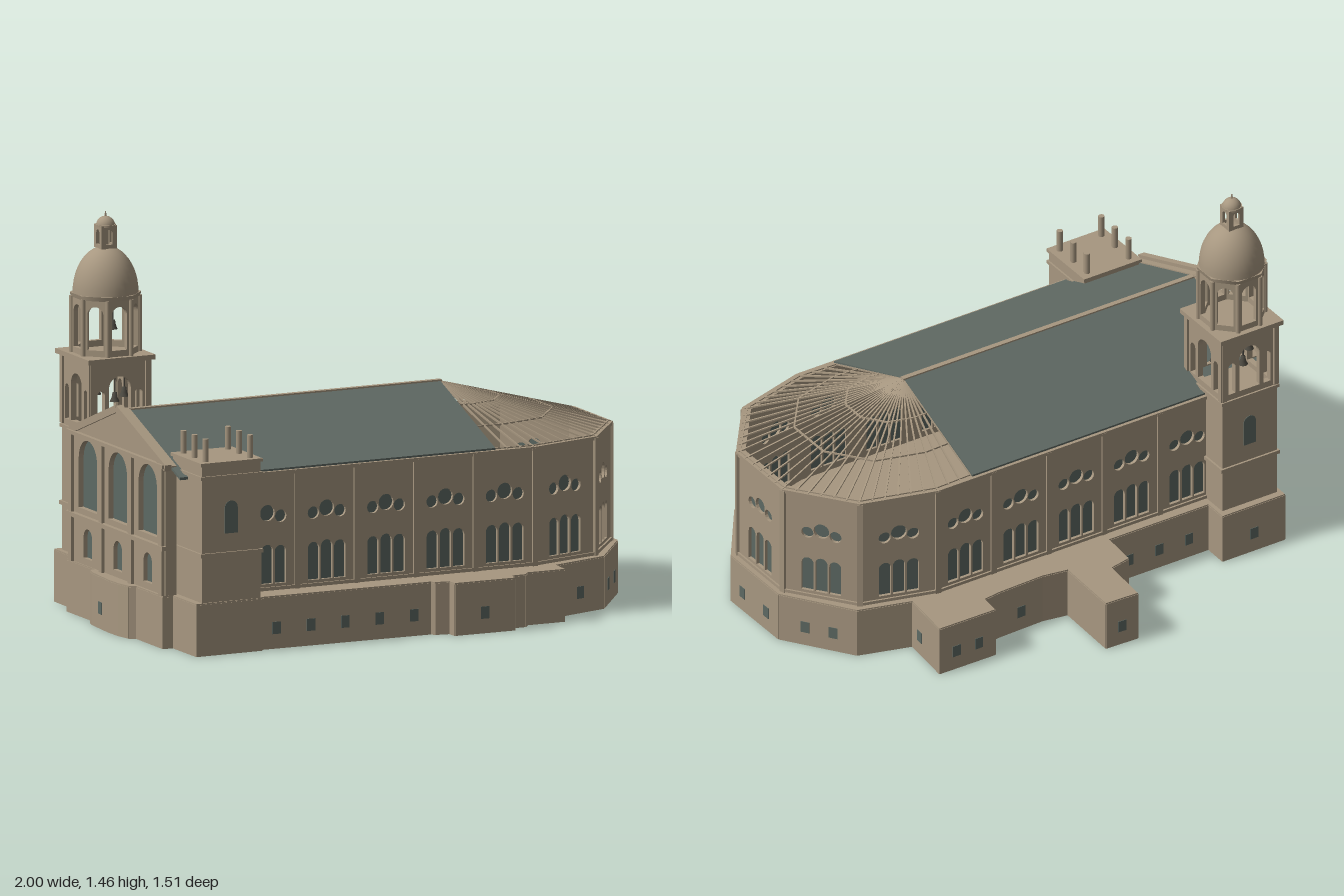
import * as THREE from 'three';

const mat = (name, color) => Object.assign(new THREE.MeshStandardMaterial({ color }), { name });
const stone = mat('stone', 0xa79780);
const slate = mat('slate', 0x606a64);
const glass = mat('glass', 0x5d6963);
const metal = mat('bellMetal', 0x4d4a42);

const V = (x, y, z) => new THREE.Vector3(x, y, z);
function add(parent, name, geo, material, x = 0, y = 0, z = 0) {
  const m = new THREE.Mesh(geo, material);
  m.name = name;
  m.position.set(x, y, z);
  parent.add(m);
  return m;
}
const box = (parent, name, w, h, d, x, y, z, material = stone) =>
  add(parent, name, new THREE.BoxGeometry(w, h, d), material, x, y, z);
function group(parent, name, x = 0, y = 0, z = 0, turn = 0) {
  const g = new THREE.Group();
  g.name = name;
  g.position.set(x, y, z);
  g.rotation.y = turn;
  parent.add(g);
  return g;
}
// Thin beam between two points, kept upright
function beam(parent, name, a, b, t) {
  const m = box(parent, name, t, t, a.distanceTo(b), 0, 0, 0);
  m.position.copy(a).lerp(b, 0.5);
  m.quaternion.setFromRotationMatrix(new THREE.Matrix4().lookAt(b, a, V(0, 1, 0)));
}

// Openings
function arch(cx, y0, w, h) {
  const r = w / 2, p = new THREE.Path();
  p.moveTo(cx - r, y0).lineTo(cx + r, y0).lineTo(cx + r, y0 + h - r);
  p.absarc(cx, y0 + h - r, r, 0, Math.PI, false);
  p.closePath();
  return p;
}
function circle(cx, cy, r) {
  const p = new THREE.Path();
  p.absarc(cx, cy, r, 0, Math.PI * 2, false);
  return p;
}
const rectPts = (w, y0, y1) => [[-w / 2, y0], [w / 2, y0], [w / 2, y1], [-w / 2, y1]];
// Upright pierced panel, outer face at z = 0
function panel(parent, name, pts, holes, depth) {
  const s = new THREE.Shape(pts.map(p => new THREE.Vector2(...p)));
  s.holes = holes;
  const g = new THREE.ExtrudeGeometry(s, { depth, bevelEnabled: false, curveSegments: 8 });
  return add(parent, name, g.translate(0, 0, -depth), stone);
}
function glaze(parent, holes, z, oneSided = false) {
  const shapes = holes.map(h => new THREE.Shape(h.getPoints(8)));
  const g = oneSided ? new THREE.ShapeGeometry(shapes)
    : new THREE.ExtrudeGeometry(shapes, { depth: 0.004, bevelEnabled: false });
  add(parent, 'windowGlass', g, glass, 0, 0, z);
}

// Low base with annexes, [x, z] outline
const OUTLINE = [
  [-0.955, -0.43], [-0.685, -0.45], [-0.68, -0.355], [-0.25, -0.385], [-0.25, -0.53], [-0.165, -0.555],
  [-0.165, -0.75], [-0.03, -0.755], [-0.02, -0.49], [0.08, -0.48], [0.27, -0.5], [0.34, -0.515],
  [0.34, -0.595], [0.58, -0.61], [0.575, -0.4], [0.78, -0.355], [0.975, -0.12], [0.998, 0.19],
  [0.835, 0.455], [0.61, 0.545], [0.61, 0.63], [0.46, 0.64], [0.44, 0.67], [0.385, 0.675],
  [0.38, 0.715], [0.14, 0.73], [0.135, 0.69], [0.08, 0.685], [0.07, 0.67], [-0.62, 0.71],
  [-0.615, 0.725], [-0.88, 0.748], [-0.895, 0.56], [-0.935, 0.56], [-0.95, 0.345], [-0.975, 0.33],
  [-0.99, 0.27], [-0.998, 0.2], [-0.998, 0.04], [-0.99, 0], [-0.968, -0.01], [-0.985, -0.235], [-0.945, -0.24]];
// Partitions under the towers and annexes
const PARTITIONS = [
  [[-0.62, 0.71], [-0.635, 0.49]], [[-0.635, 0.49], [-0.895, 0.51]], [[-0.68, -0.355], [-0.67, -0.17]],
  [[-0.67, -0.17], [-0.95, -0.15]], [[-0.25, -0.385], [-0.02, -0.4]], [[0.34, -0.415], [0.575, -0.4]]];
function buildBase(root) {
  const g = group(root, 'base');
  const s = new THREE.Shape(OUTLINE.map(([x, z]) => new THREE.Vector2(x, -z)));
  const top = new THREE.ExtrudeGeometry(s, { depth: 0.008, bevelEnabled: false }).rotateX(-Math.PI / 2);
  add(g, 'baseTop', top, stone, 0, 0.187, 0);
  const edges = OUTLINE.map((a, i) => [a, OUTLINE[(i + 1) % OUTLINE.length]]);
  const place = (m, [[ax, az], [bx, bz]], t) => {
    m.position.x = ax + (bx - ax) * t;
    m.position.z = az + (bz - az) * t;
    m.rotation.y = Math.atan2(-(bz - az), bx - ax);
  };
  for (const e of [...edges, ...PARTITIONS]) {
    const len = Math.hypot(e[1][0] - e[0][0], e[1][1] - e[0][1]);
    place(box(g, 'baseWall', len, 0.19, 0.004, 0, 0.095, 0), e, 0.5);
  }
  // Small windows: edge index, then positions along it
  const rows = [[0, 0.5], [2, 0.2, 0.5, 0.8], [4, 0.5], [6, 0.5], [9, 0.5], [12, 0.3, 0.7], [13, 0.71],
    [15, 0.3, 0.66], [16, 0.25, 0.75], [17, 0.28, 0.73], [18, 0.5], [24, 0.5],
    [28, 0.1, 0.3, 0.5, 0.7, 0.9], [37, 0.5]];
  for (const [i, ...spots] of rows)
    for (const t of spots) place(box(g, 'baseWindow', 0.034, 0.045, 0.008, 0, 0.077, 0, glass), edges[i], t);
}

// Bay wall with triple lancets and clustered round lights
const WALL = [[0.5, 0.465], [0.785, 0.385], [0.965, 0.15]];
for (let i = 1; i <= 5; i++) WALL.unshift([0.5 - 0.24 * i, 0.465]);
WALL.push(...WALL.map(([u, v]) => [u, -v]).reverse());
function buildWalls(hall) {
  const turns = [];
  for (let i = 0; i < WALL.length - 1; i++) {
    const [au, av] = WALL[i], [bu, bv] = WALL[i + 1];
    const len = Math.hypot(bu - au, bv - av), turn = Math.atan2(-(bv - av), bu - au);
    turns.push(turn);
    const g = group(hall, 'bay', (au + bu) / 2, 0, (av + bv) / 2, turn);
    const holes = [arch(-0.053, 0.22, 0.046, 0.14), arch(0, 0.22, 0.046, 0.145), arch(0.053, 0.22, 0.046, 0.14),
      circle(-0.054, 0.468, 0.023), circle(0, 0.482, 0.03), circle(0.054, 0.468, 0.023)];
    panel(g, 'bayWall', rectPts(len, 0.19, 0.63), holes, 0.025);
    glaze(g, holes, -0.016);
    box(g, 'eaveCornice', len + 0.004, 0.014, 0.034, 0, 0.628, -0.011);
    box(g, 'sillBand', len, 0.012, 0.008, 0, 0.203, 0.003);
  }
  WALL.forEach(([u, v], i) => {
    const t = ((turns[i - 1] ?? turns[i]) + (turns[i] ?? turns[i - 1])) / 2;
    box(hall, 'pilaster', 0.022, 0.44, 0.014, u, 0.41, v).rotation.y = t;
  });
}

function buildRoof(hall) {
  // Pitched main roof
  const s = new THREE.Shape([[-0.458, 0.632], [0, 0.805], [0.458, 0.632], [0.458, 0.642], [0, 0.815], [-0.458, 0.642]]
    .map(p => new THREE.Vector2(...p)));
  const geo = new THREE.ExtrudeGeometry(s, { depth: 1.275, bevelEnabled: false });
  add(hall, 'mainRoof', geo.rotateY(Math.PI / 2), slate, -0.93, 0, 0);
  box(hall, 'ridgeCap', 1.28, 0.01, 0.02, -0.29, 0.812, 0);
  // Open apse roof of radial ribs and ring purlins
  const g = group(hall, 'apseRoof'), apex = V(0.345, 0.81, 0);
  const rim = [[0.345, 0.458], ...WALL.slice(5, 11), [0.345, -0.458]].map(([u, v]) => V(u, 0.634, v * 0.985));
  for (let i = 0; i < rim.length - 1; i++) {
    const n = i === 0 || i === rim.length - 2 ? 3 : 6;
    for (let k = 0; k < n; k++) beam(g, 'rib', apex, rim[i].clone().lerp(rim[i + 1], k / n), 0.006);
    for (const f of [0.35, 0.66, 0.985])
      beam(g, 'purlin', apex.clone().lerp(rim[i], f), apex.clone().lerp(rim[i + 1], f), 0.006);
  }
  beam(g, 'rib', apex, rim[rim.length - 1], 0.006);
}

// West front with gable, facing -x in the hall frame
function buildFacade(hall) {
  const g = group(hall, 'facade', -0.955, 0, 0, -Math.PI / 2);
  const big = [-0.245, 0, 0.245].map(x => arch(x, 0.4, 0.15, 0.257));
  const low = [-0.245, 0, 0.245].map(x => arch(x, 0.22, 0.07, 0.11));
  panel(g, 'gableWall', [[-0.39, 0.19], [0.39, 0.19], [0.39, 0.672], [0, 0.82], [-0.39, 0.672]], [...big, ...low], 0.045);
  glaze(g, big, -0.02, true);
  glaze(g, low, -0.02);
  box(g, 'stringCourse', 0.79, 0.016, 0.022, 0, 0.37, 0.006);
  box(g, 'entablature', 0.79, 0.014, 0.02, 0, 0.672, 0.006);
  for (const s of [-1, 1]) {
    beam(g, 'gableCornice', V(s * 0.4, 0.668, -0.005), V(0, 0.82, -0.005), 0.026);
    for (const x of [0.12, 0.37]) box(g, 'facadePilaster', 0.026, 0.47, 0.016, s * x, 0.43, 0.005);
  }
}

// Shared lower shaft of both corner towers
function towerShaft(hall, name, v, top) {
  const g = group(hall, name, -0.78, 0, v);
  box(g, 'shaft', 0.236, top - 0.19, 0.236, 0, (top + 0.19) / 2, 0);
  box(g, 'lowerCornice', 0.252, 0.014, 0.252, 0, 0.37, 0);
  box(g, 'upperCornice', 0.25, 0.012, 0.25, 0, 0.655, 0);
  const side = group(g, 'shaftWindow', 0, 0, 0, v > 0 ? 0 : Math.PI);
  glaze(side, [arch(0, 0.445, 0.052, 0.12)], 0.116);
  return g;
}

function bell(parent, x, y, z) {
  const pts = [[0.018, 0], [0.011, 0.015], [0.008, 0.034], [0, 0.036]].map(p => new THREE.Vector2(...p));
  add(parent, 'bell', new THREE.LatheGeometry(pts, 12), metal, x, y, z);
  add(parent, 'bellMouth', new THREE.CircleGeometry(0.018, 12).rotateX(Math.PI / 2), metal, x, y, z);
  add(parent, 'bellHanger', new THREE.CylinderGeometry(0.003, 0.003, 0.08, 6), metal, x, y + 0.07, z);
}

function buildTowers(hall) {
  // Short tower with rooftop posts
  const a = towerShaft(hall, 'shortTower', 0.455, 0.705);
  box(a, 'topSlab', 0.25, 0.012, 0.25, 0, 0.705, 0);
  for (const x of [-0.09, 0.09]) for (const z of [-0.09, 0, 0.09])
    add(a, 'roofPost', new THREE.CylinderGeometry(0.012, 0.012, 0.09, 8), stone, x, 0.75, z);

  // Bell tower: square belfry
  const b = towerShaft(hall, 'bellTower', -0.455, 0.665);
  for (let i = 0; i < 4; i++) {
    const g = group(b, 'belfrySide', 0, 0, 0, i * Math.PI / 2);
    const f = group(g, 'belfryFace', 0, 0, 0.118);
    panel(f, 'belfryWall', rectPts(0.236, 0.66, 0.925),
      [arch(0, 0.685, 0.088, 0.18), arch(-0.076, 0.685, 0.03, 0.13), arch(0.076, 0.685, 0.03, 0.13)], 0.022);
    for (const x of [-0.112, 0.112]) box(f, 'belfryPilaster', 0.02, 0.26, 0.012, x, 0.795, 0.002);
    bell(g, 0, 0.765, 0.075);
  }
  box(b, 'belfryCeiling', 0.2, 0.012, 0.2, 0, 0.915, 0);
  box(b, 'belfryCornice', 0.272, 0.018, 0.272, 0, 0.928, 0);

  // Octagonal arcade
  const ap = 0.114, side = 2 * ap * Math.tan(Math.PI / 8);
  for (let i = 0; i < 8; i++) {
    const g = group(b, 'arcadeSide', 0, 0, 0, i * Math.PI / 4);
    const f = group(g, 'arcadeFace', 0, 0, ap);
    panel(f, 'arcadeWall', rectPts(side, 0.935, 1.145), [arch(0, 0.96, 0.062, 0.16)], 0.018);
    add(f, 'arcadeColumn', new THREE.CylinderGeometry(0.009, 0.009, 0.21, 8), stone, side / 2, 1.04, 0);
  }
  bell(b, 0, 1.03, 0.06);
  const cornice = new THREE.CylinderGeometry(0.13, 0.126, 0.016, 8).rotateY(Math.PI / 8);
  add(b, 'arcadeCornice', cornice, stone, 0, 1.15, 0);

  // Dome, lantern and finial
  const dome = [];
  for (let i = 0; i <= 12; i++) {
    const t = i / 12 * Math.PI / 2;
    dome.push(new THREE.Vector2(0.12 * Math.cos(t), 1.157 + 0.17 * Math.sin(t)));
  }
  add(b, 'dome', new THREE.LatheGeometry(dome, 32), stone);
  for (let i = 0; i < 4; i++) {
    const f = group(group(b, 'lanternSide', 0, 0, 0, i * Math.PI / 2), 'lanternFace', 0, 0, 0.031);
    panel(f, 'lanternWall', rectPts(0.062, 1.32, 1.405), [arch(0, 1.335, 0.026, 0.055)], 0.008);
  }
  add(b, 'lanternCornice', new THREE.CylinderGeometry(0.038, 0.038, 0.008, 16), stone, 0, 1.403, 0);
  add(b, 'lanternDome', new THREE.SphereGeometry(0.035, 16, 8, 0, Math.PI * 2, 0, Math.PI / 2), stone, 0, 1.402, 0);
  add(b, 'finial', new THREE.CylinderGeometry(0.002, 0.004, 0.022, 6), stone, 0, 1.444, 0);
}

export function createModel() {
  const root = new THREE.Group();
  root.name = 'church';
  buildBase(root);
  const hall = group(root, 'hall', 0, 0, 0.105, 0.07);
  buildWalls(hall);
  buildRoof(hall);
  buildFacade(hall);
  buildTowers(hall);
  return root;
}
